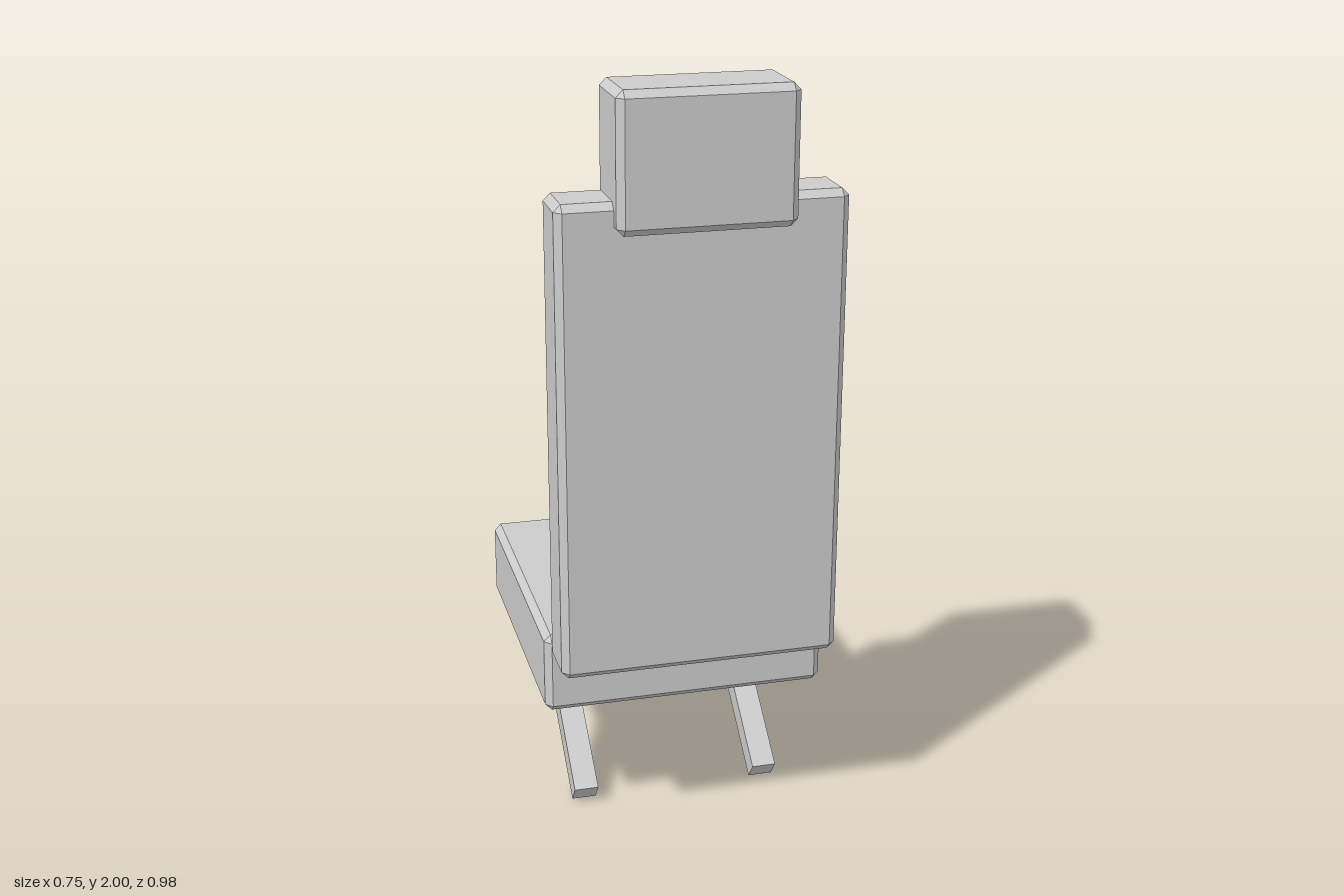
import * as THREE from 'three';
import { ConvexGeometry } from 'three/addons/geometries/ConvexGeometry.js';

const grey = new THREE.MeshStandardMaterial({ color: 0xcccccc });
grey.name = 'light grey';

// Box with every edge cut by a flat chamfer, given by its min and max corners
function chamferedBox(name, min, max, c) {
  const lo = new THREE.Vector3(...min), hi = new THREE.Vector3(...max);
  const half = hi.clone().sub(lo).multiplyScalar(0.5);
  const points = [];
  for (const sx of [-1, 1]) for (const sy of [-1, 1]) for (const sz of [-1, 1]) {
    for (const full of ['x', 'y', 'z']) {
      const p = half.clone().subScalar(c);
      p[full] = half[full];
      points.push(p.multiply(new THREE.Vector3(sx, sy, sz)));
    }
  }
  const mesh = new THREE.Mesh(new ConvexGeometry(points), grey);
  mesh.name = name;
  mesh.position.copy(lo).add(hi).multiplyScalar(0.5);
  return mesh;
}

export function createModel() {
  const chair = new THREE.Group();
  chair.name = 'chair';

  // Cushions
  chair.add(
    chamferedBox('seat', [-0.375, 0.345, -0.49], [0.375, 0.563, 0.293], 0.018),
    chamferedBox('backrest', [-0.36, 0.515, 0.294], [0.36, 1.735, 0.449], 0.018),
    chamferedBox('headrest', [-0.22, 1.66, 0.287], [0.22, 2.0, 0.49], 0.018)
  );

  // Slanted legs, running from the foot up into the underside of the seat
  const length = 0.58, thickness = 0.061, slope = 0.66;
  const footY = 0.0241, footZ = 0.182;
  for (const side of [-1, 1]) {
    const leg = new THREE.Mesh(new THREE.BoxGeometry(0.065, thickness, length), grey);
    leg.name = side > 0 ? 'leftLeg' : 'rightLeg';
    leg.rotation.x = slope;
    leg.position.set(
      side * 0.252,
      footY + Math.sin(slope) * length / 2,
      footZ - Math.cos(slope) * length / 2
    );
    chair.add(leg);
  }
  return chair;
}
